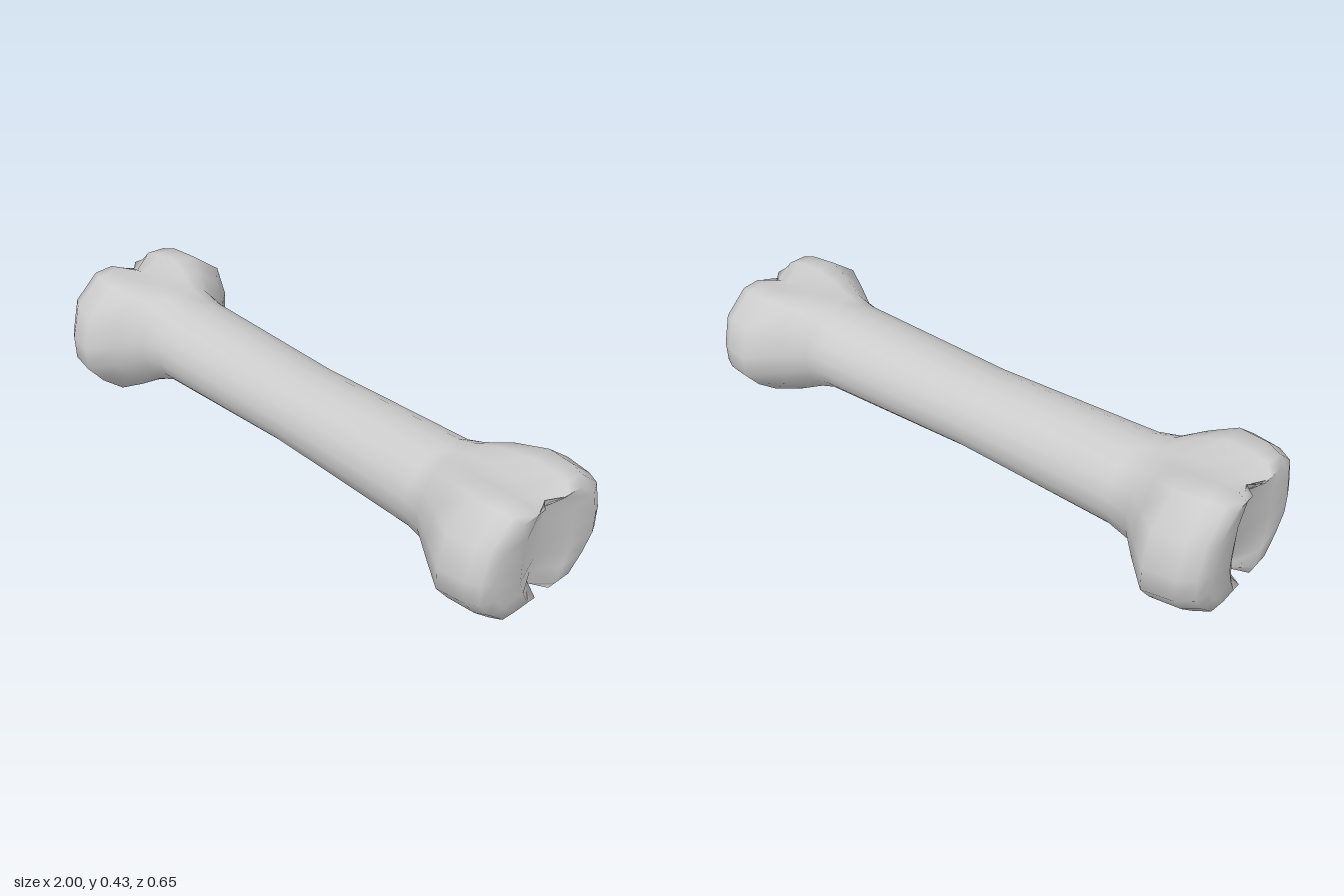
import * as THREE from 'three';
import { mergeVertices } from 'three/addons/utils/BufferGeometryUtils.js';

// Half outline of the two-lobed end, from top notch to bottom notch: [z, y], scaled to -1..1
const LOBES = [
  [0, 0.86], [0.31, 1], [0.57, 0.98], [0.9, 0.59], [1, 0.04],
  [0.99, -0.35], [0.81, -0.69], [0.56, -1], [0.28, -1], [0, -0.78],
];
const LAST = LOBES.length - 1;

// Cross-sections along the bone: x, half width, bottom, top, lobe blend, notch inset
const SECTIONS = [
  [-1, 0.225, 0.05, 0.395, 1, 0.04],
  [-0.98, 0.272, 0.018, 0.425, 1, 0.042],
  [-0.93, 0.305, 0.004, 0.434, 1, 0.032],
  [-0.83, 0.325, 0.006, 0.432, 1, 0.012],
  [-0.75, 0.25, 0.03, 0.418, 0.7, 0],
  [-0.68, 0.178, 0.056, 0.4, 0.3, 0],
  [-0.6, 0.17, 0.08, 0.385, 0, 0],
  [0, 0.157, 0.1, 0.366, 0, 0],
  [0.6, 0.168, 0.08, 0.385, 0, 0],
  [0.66, 0.176, 0.068, 0.397, 0.3, 0],
  [0.75, 0.235, 0.045, 0.414, 0.7, 0],
  [0.85, 0.3, 0.032, 0.416, 1, 0.012],
  [0.94, 0.283, 0.024, 0.415, 1, 0.028],
  [0.98, 0.264, 0.035, 0.406, 1, 0.034],
  [1, 0.225, 0.062, 0.38, 1, 0.03],
];

// Notch depth grows toward the underside
const notchDepth = (inset, j) => inset * (1 + 1.5 * Math.max(0, (j / LAST - 0.4) / 0.6));

// Point j (0 top .. LAST bottom) of a section on one side (+1 or -1 in z)
function sectionPoint([x, w, y0, y1, blend, inset], j, side) {
  const a = (j / LAST) * Math.PI;
  const u = THREE.MathUtils.lerp(Math.sin(a), LOBES[j][0], blend);
  const v = THREE.MathUtils.lerp(Math.cos(a), LOBES[j][1], blend);
  const onNotch = j === 0 || j === LAST;
  const dx = onNotch ? -Math.sign(x) * notchDepth(inset, j) : 0;
  return [x + dx, (y0 + y1) / 2 + (v * (y1 - y0)) / 2, onNotch ? 0 : side * u * w];
}

function boneGeometry() {
  const positions = [], index = [];

  // Adds a grid of points and joins it with quads
  function addGrid(rows, flip) {
    const base = positions.length / 3, n = rows[0].length;
    rows.flat().forEach((p) => positions.push(...p));
    for (let r = 0; r < rows.length - 1; r++) {
      for (let c = 0; c < n - 1; c++) {
        const a = base + r * n + c, b = a + 1, d = a + n, e = d + 1;
        if (flip) index.push(a, d, b, b, d, e);
        else index.push(a, b, d, b, e, d);
      }
    }
  }

  // Outer skin: closed loops swept from one end to the other
  addGrid(SECTIONS.map((s) => {
    const loop = [];
    for (let j = 0; j <= LAST; j++) loop.push(sectionPoint(s, j, 1));
    for (let j = LAST - 1; j >= 0; j--) loop.push(sectionPoint(s, j, -1));
    return loop;
  }), false);

  // End faces: flat lobes folded into a valley along the middle
  for (const s of [SECTIONS[0], SECTIONS[SECTIONS.length - 1]]) {
    const dir = Math.sign(s[0]);
    const rows = LOBES.map((_, j) => [-1, -0.5, 0, 0.5, 1].map((k) => {
      const [x, y, z] = sectionPoint(s, j, 1);
      if (j === 0 || j === LAST) return [x, y, 0];
      const dip = k === 0 ? notchDepth(s[5], j) : 0;
      return [x - dir * dip, y, z * k];
    }));
    addGrid(rows, dir < 0);
  }

  const raw = new THREE.BufferGeometry();
  raw.setAttribute('position', new THREE.Float32BufferAttribute(positions, 3));
  raw.setIndex(index);

  // Weld seams, drop collapsed triangles, then smooth
  const geo = mergeVertices(raw, 1e-4);
  const id = geo.index.array, kept = [];
  for (let i = 0; i < id.length; i += 3) {
    const [a, b, c] = [id[i], id[i + 1], id[i + 2]];
    if (a !== b && b !== c && a !== c) kept.push(a, b, c);
  }
  geo.setIndex(kept);
  geo.computeVertexNormals();
  return geo;
}

export function createModel() {
  const group = new THREE.Group();
  group.name = 'boneModel';
  const bone = new THREE.Mesh(boneGeometry(), new THREE.MeshStandardMaterial({ color: 0xcccccc }));
  bone.name = 'bone';
  group.add(bone);
  return group;
}
